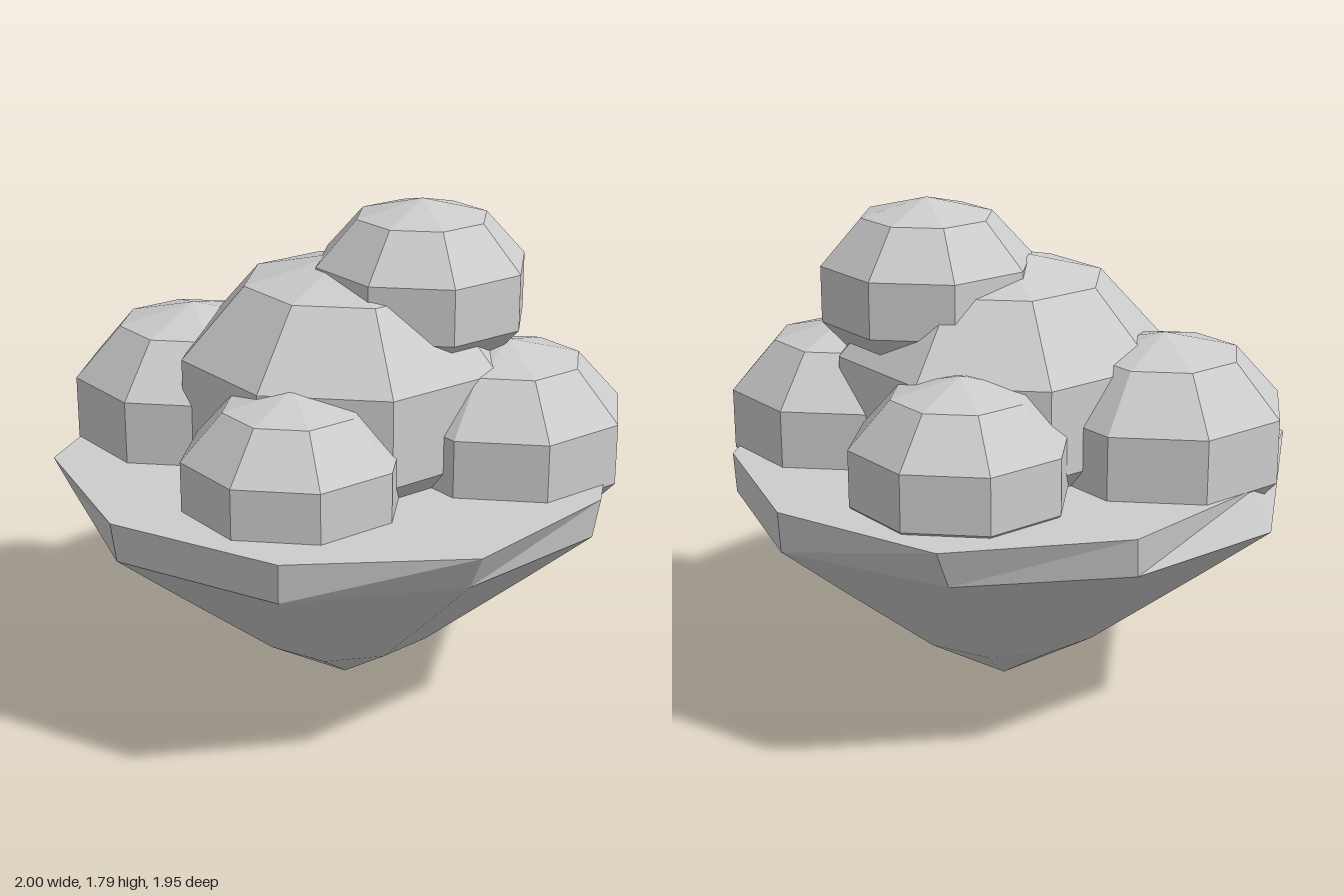
import * as THREE from 'three';

const grey = new THREE.MeshStandardMaterial({ color: 0xcccccc, flatShading: true });
grey.name = 'grey';

// Uneven ten-sided outlines as [x, z], counter-clockwise seen from above
const rim = [[0.34, 0.965], [0.86, 0.61], [0.995, 0], [0.8, -0.55], [0.335, -0.935],
  [-0.29, -0.98], [-0.78, -0.58], [-0.93, 0], [-0.8, 0.61], [-0.29, 0.97]];
const belt = [[0.33, 0.95], [0.79, 0.55], [0.97, 0], [0.79, -0.55], [0.33, -0.93],
  [-0.29, -0.91], [-0.77, -0.55], [-1, 0], [-0.77, 0.55], [-0.285, 0.95]];

// Rocky underside: rings narrowing down to a point, closed by a flat top
function rockGeometry() {
  const apex = [0.02, 0, 0];
  const shrink = (k, y) => belt.map(([x, z]) => [0.02 + (x - 0.02) * k, y, z * k]);
  const rings = [
    rim.map(([x, z]) => [x, 0.9, z]),
    shrink(1, 0.76),
    shrink(0.75, 0.55),
    shrink(0.35, 0.22),
  ];
  const n = rim.length;
  const pos = [];
  const tri = (...corners) => corners.forEach((c) => pos.push(...c));
  for (let i = 0; i < n; i++) {
    const j = (i + 1) % n;
    tri([0, 0.9, 0], rings[0][i], rings[0][j]);
    for (let r = 0; r < rings.length - 1; r++) {
      const a = rings[r][i], b = rings[r + 1][i], c = rings[r + 1][j], d = rings[r][j];
      tri(a, b, d);
      tri(b, c, d);
    }
    tri(rings[3][i], apex, rings[3][j]);
  }
  const geo = new THREE.BufferGeometry();
  geo.setAttribute('position', new THREE.Float32BufferAttribute(pos, 3));
  geo.computeVertexNormals();
  return geo;
}

// Squashed eight-sided puffs: name, x, y, z, radius
const puffs = [
  ['mainPuff', 0.025, 1.12, 0, 0.61],
  ['topPuff', 0.24, 1.48, -0.14, 0.392],
  ['rightPuff', -0.55, 1.01, 0.095, 0.448],
  ['leftPuff', 0.565, 0.995, -0.175, 0.428],
  ['frontPuff', 0.115, 0.975, 0.51, 0.392],
  ['backPuff', -0.115, 1.005, -0.535, 0.392],
];

export function createModel() {
  const model = new THREE.Group();
  model.name = 'floatingIsland';

  const rock = new THREE.Mesh(rockGeometry(), grey);
  rock.name = 'rockBase';
  model.add(rock);

  for (const [name, x, y, z, radius] of puffs) {
    const puff = new THREE.Mesh(new THREE.SphereGeometry(radius, 8, 5), grey);
    puff.name = name;
    puff.position.set(x, y, z);
    puff.scale.y = 0.8;
    model.add(puff);
  }
  return model;
}
